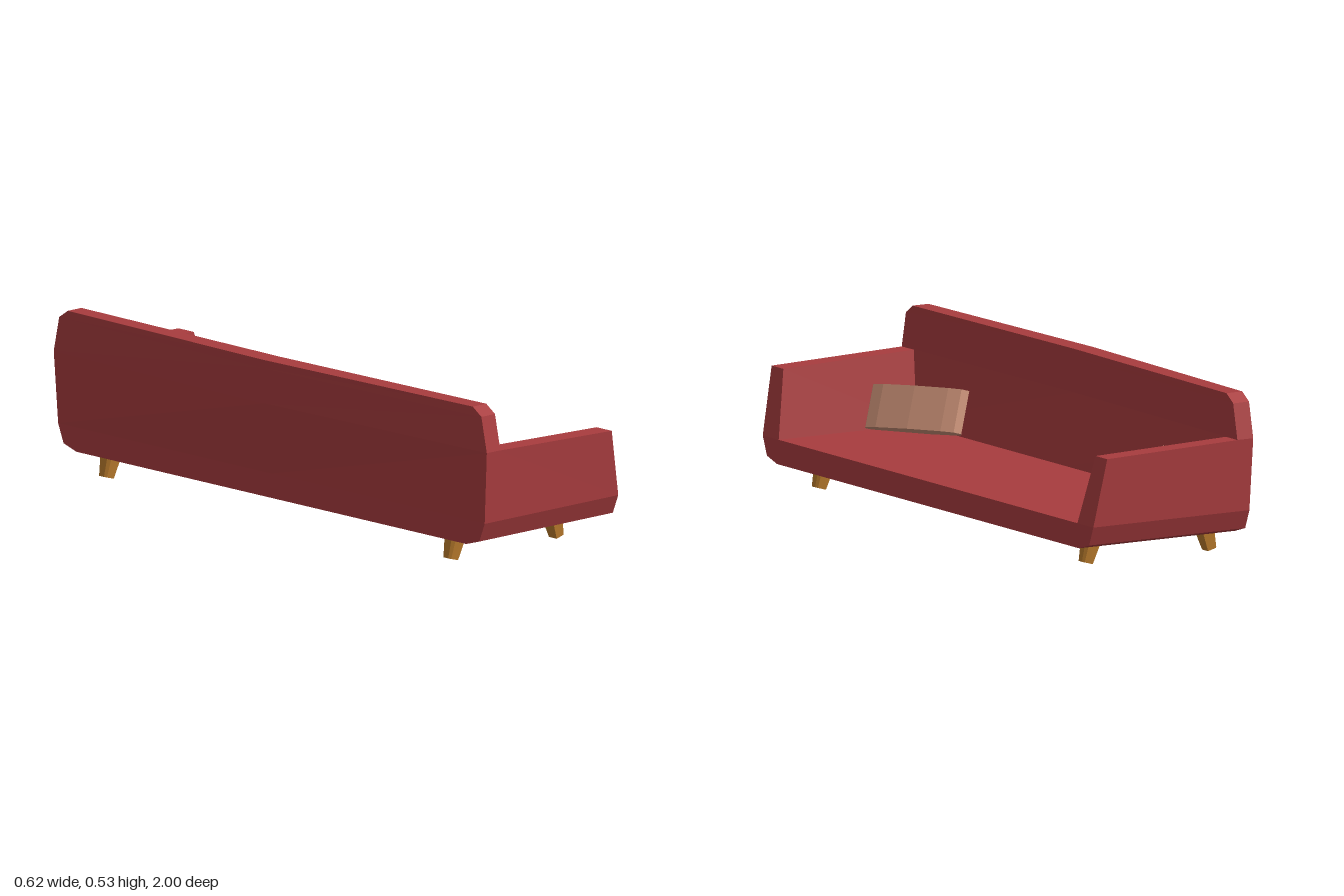
import * as THREE from 'three';

const material = (color) => new THREE.MeshStandardMaterial({ color, flatShading: true });

// Joins equal-length rings of [x, y, z] points into a closed, capped solid.
function loft(rings) {
  const tris = [];
  const n = rings[0].length;
  for (let r = 0; r < rings.length - 1; r++) {
    for (let i = 0; i < n; i++) {
      const j = (i + 1) % n;
      const [a, b, c, d] = [rings[r][i], rings[r][j], rings[r + 1][j], rings[r + 1][i]];
      tris.push([a, b, c], [a, c, d]);
    }
  }
  const first = rings[0], last = rings[rings.length - 1];
  for (let i = 1; i < n - 1; i++) {
    tris.push([first[0], first[i + 1], first[i]], [last[0], last[i], last[i + 1]]);
  }
  // Turn the solid outwards if its signed volume is negative
  let volume = 0;
  for (const [a, b, c] of tris) {
    volume += new THREE.Vector3(...a).dot(new THREE.Vector3(...b).cross(new THREE.Vector3(...c)));
  }
  if (volume < 0) tris.forEach((t) => t.reverse());
  const geometry = new THREE.BufferGeometry();
  geometry.setAttribute('position', new THREE.Float32BufferAttribute(tris.flat(2), 3));
  geometry.computeVertexNormals();
  return geometry;
}

// Lens-shaped cushion leaning back into the corner on the given side
function cushionGeometry(side) {
  const bottom = new THREE.Vector3(-0.1, 0.167, 0.735 * side);
  const top = new THREE.Vector3(-0.143, 0.3, 0.755 * side);
  const along = new THREE.Vector3(0.46, -0.035, 0.89 * side).normalize();
  const across = along.clone().cross(top.clone().sub(bottom)).normalize();
  const half = [[0.178, 0], [0.163, 0.024], [0.12, 0.035], [0, 0.042], [-0.12, 0.035], [-0.163, 0.024]];
  const outline = [...half, ...half.map(([u, v]) => [-u, -v])];
  return loft([bottom, top].map((centre) => outline.map(([u, v]) =>
    centre.clone().addScaledVector(along, u).addScaledVector(across, v).toArray())));
}

// Tapered, splayed leg with chamfered outer corners; end is +1 front, -1 rear
function legGeometry(end, side) {
  const ring = (inner, outer, yInner, yOuter, w) => {
    const k = 0.85;
    const x = inner + (outer - inner) * k, y = yInner + (yOuter - yInner) * k;
    return [[inner, yInner, -w], [x, y, -w], [outer, yOuter, -w * 0.55],
      [outer, yOuter, w * 0.55], [x, y, w], [inner, yInner, w]]
      .map(([px, py, pz]) => [-0.015 + px * end, py, 0.795 * side + pz]);
  };
  return loft([ring(0.218, 0.254, 0, 0.01, 0.018), ring(0.188, 0.242, 0.08, 0.08, 0.027)]);
}

export function createModel() {
  const group = new THREE.Group();
  const red = material(0xa83c3e), tan = material(0xc99076), wood = material(0xb87a2c);
  const add = (name, geometry, mat) => {
    const mesh = new THREE.Mesh(geometry, mat);
    mesh.name = name;
    group.add(mesh);
  };

  // Seat slab with bevelled ends
  const slab = [[-0.985, 0.155], [-0.96, 0.093], [-0.9, 0.075], [0.9, 0.075], [0.96, 0.093], [0.985, 0.155]];
  add('seat', loft([-0.28, 0.31].map((x) => slab.map(([z, y]) => [x, y, z]))), red);

  // Backrest, bowed outwards at the middle and with clipped top corners
  const levels = [ // y, half length, rear end x, rear middle x, front end x, front middle x
    [0.155, 0.985, -0.28, -0.28, -0.21, -0.21],
    [0.39, 1, -0.285, -0.312, -0.225, -0.243],
    [0.505, 0.975, -0.285, -0.312, -0.225, -0.243],
    [0.532, 0.935, -0.285, -0.312, -0.225, -0.243],
  ];
  add('backrest', loft(levels.map(([y, z, re, rm, fe, fm]) => [
    [rm, y, 0], [re, y, z], [fe, y, z], [fm, y, 0], [fe, y, -z], [re, y, -z],
  ])), red);

  for (const side of [1, -1]) {
    const name = side > 0 ? 'left' : 'right';
    // Arm leaning outwards, with a sloping front edge
    add(name + 'Arm', loft([
      [[-0.22, 0.155, 0.89], [0.31, 0.155, 0.89], [0.31, 0.155, 0.985], [-0.22, 0.155, 0.985]],
      [[-0.235, 0.39, 0.93], [0.267, 0.375, 0.93], [0.267, 0.375, 1], [-0.235, 0.39, 1]],
    ].map((ring) => ring.map(([x, y, z]) => [x, y, z * side]))), red);
    add(name + 'Cushion', cushionGeometry(side), tan);
    add(name + 'FrontLeg', legGeometry(1, side), wood);
    add(name + 'RearLeg', legGeometry(-1, side), wood);
  }
  return group;
}
